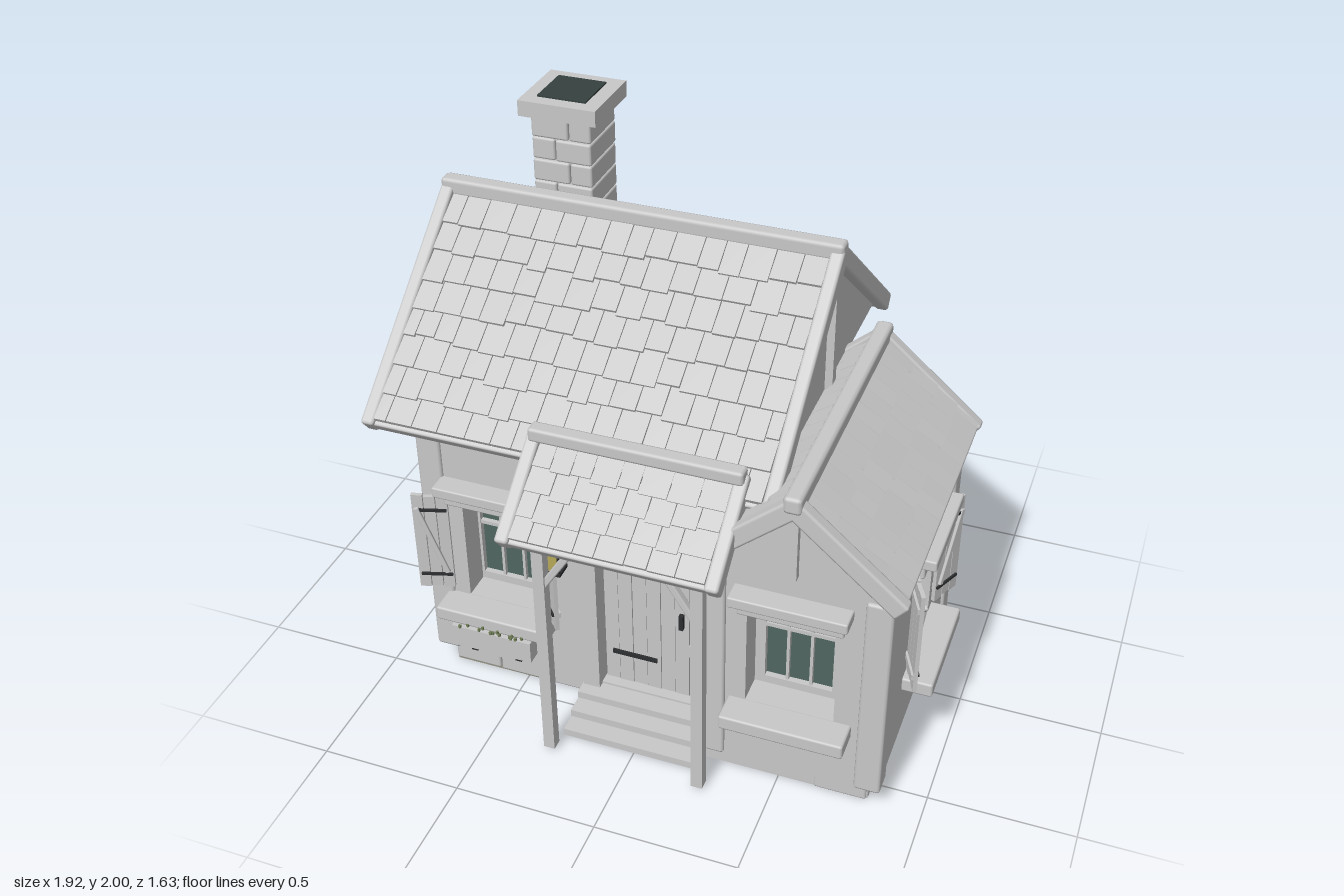
import * as THREE from 'three';
import { mergeGeometries } from 'three/addons/utils/BufferGeometryUtils.js';
import { RoundedBoxGeometry } from 'three/addons/geometries/RoundedBoxGeometry.js';

const mat = (name, color) => {
  const m = new THREE.MeshStandardMaterial({ color });
  m.name = name;
  return m;
};
const plaster = mat('pale stone grey', 0xc8c8c8);
const glass = mat('dark teal glass', 0x506660);
const soot = mat('soot', 0x35413f);
const iron = mat('black iron', 0x2c2e30);
const underside = mat('earth olive', 0x8f8d7c);
const lampGlow = mat('lamp yellow', 0xb5a858);
const leaf = mat('leaf green', 0x6f7d55);

let seed = 7;
const rnd = (a, b) => {
  seed = (seed * 16807) % 2147483647;
  return a + (b - a) * (seed / 2147483647);
};

function add(parent, name, geo, x, y, z, m = plaster) {
  const b = new THREE.Mesh(geo, m);
  b.name = name;
  b.position.set(x, y, z);
  parent.add(b);
  return b;
}
const box = (parent, name, w, h, d, x, y, z, m) =>
  add(parent, name, new THREE.BoxGeometry(w, h, d), x, y, z, m);
const chamfered = (parent, name, w, h, d, x, y, z, r) =>
  add(parent, name, new RoundedBoxGeometry(w, h, d, 1, r), x, y, z);

// Straight timber between two points in the parent's frame
function beam(parent, name, a, b, w, h) {
  const p = new THREE.Vector3(...a), q = new THREE.Vector3(...b);
  const mid = p.clone().add(q).multiplyScalar(0.5);
  const t = chamfered(parent, name, w, h, p.distanceTo(q), mid.x, mid.y, mid.z, Math.min(w, h) * 0.22);
  t.quaternion.setFromRotationMatrix(new THREE.Matrix4().lookAt(q, p, new THREE.Vector3(0, 1, 0)));
}
function group(parent, name, x, y, z, ry = 0) {
  const g = new THREE.Group();
  g.name = name;
  g.position.set(x, y, z);
  g.rotation.y = ry;
  parent.add(g);
  return g;
}
const merged = (parent, name, geos) => add(parent, name, mergeGeometries(geos), 0, 0, 0);
const stone = (w, h, d, x, y, z) => new RoundedBoxGeometry(w, h, d, 1, 0.008).translate(x, y, z);
const points = list => list.map(p => new THREE.Vector2(...p));

// Flat panel from an outline, its front at local z = 0
const panel = (parent, name, outline, holes, depth) => {
  const s = new THREE.Shape(points(outline));
  for (const [a, b, c, d] of holes) s.holes.push(new THREE.Path(points([[a, c], [a, d], [b, d], [b, c]])));
  add(parent, name, new THREE.ExtrudeGeometry(s, { depth, bevelEnabled: false }), 0, 0, -depth);
};

// Wall facing local +z, with optional gable peak and openings [x0, x1, y0, y1]
function wall(parent, name, pos, ry, half, top, peak, holes = []) {
  const g = group(parent, name, ...pos, ry);
  const pts = [[-half, 0.09], [half, 0.09], [half, top]];
  if (peak) pts.push([0, peak]);
  panel(g, name + 'Panel', [...pts, [-half, top]], holes, 0.14);
  return g;
}
const opening = x => [x - 0.15, x + 0.15, 0.36, 0.78];

// Deeply recessed window with sill, lintel and any shutters given as [side, swing]
function windowUnit(wallGroup, x, shutters = [], drop = 0) {
  const g = group(wallGroup, 'window', x, 0, 0);
  box(g, 'glass', 0.28, 0.4, 0.008, 0, 0.575, -0.125, glass);
  for (const s of [-1, 1]) {
    box(g, 'frameSide', 0.035, 0.42, 0.03, s * 0.133, 0.57, -0.115);
    box(g, 'mullion', 0.01, 0.4, 0.02, s * 0.04, 0.575, -0.115);
  }
  box(g, 'frameTop', 0.3, 0.03, 0.03, 0, 0.775 - drop, -0.115);
  box(g, 'frameBottom', 0.3, 0.03, 0.03, 0, 0.375, -0.115);
  box(g, 'glazingBar', 0.27, 0.014, 0.022, 0, 0.61, -0.115);
  chamfered(g, 'sill', 0.42, 0.054, 0.135, 0, 0.332, 0.037, 0.008);
  chamfered(g, 'header', 0.35, 0.045, 0.05, 0, 0.79 - drop, 0.01, 0.006);
  chamfered(g, 'lintel', 0.39, 0.04, 0.1, 0, 0.842 - drop, 0.025, 0.006);
  for (const [s, swing] of shutters) {
    const sh = group(g, 'shutter', s * 0.175, 0.59, 0.008, -s * swing);
    for (let i = 0; i < 3; i++)
      box(sh, 'shutterPlank', 0.039, 0.4 - (i % 2) * 0.012, 0.014, s * (0.021 + i * 0.042), 0, 0);
    for (const y of [-0.14, 0.14]) {
      box(sh, 'shutterStrap', 0.11, 0.01, 0.008, s * 0.06, y, 0.01, iron);
      box(sh, 'shutterBatten', 0.12, 0.022, 0.01, s * 0.063, y, -0.01);
    }
    beam(sh, 'shutterBrace', [s * 0.02, -0.13, 0.012], [s * 0.11, 0.15, 0.012], 0.012, 0.018);
  }
}

// One tiled slope: ridge along local x, falling toward local +z
function slope(parent, name, pos, ry, L, run, pitch, rows) {
  const g = group(group(parent, name, ...pos, ry), name + 'Plane', 0, 0, 0);
  const a = Math.atan(pitch), S = run / Math.cos(a), step = (S - 0.05) / rows;
  g.rotation.x = a;
  box(g, 'roofDeck', L - 0.04, 0.025, S - 0.02, 0, -0.035, S / 2);
  // Courses lift gently toward the eave
  const tiles = [], end = L / 2 - 0.045;
  for (let r = 0; r < rows; r++) {
    let x = -end;
    while (x < end - 0.015) {
      let w = x === -end ? rnd(0.04, 0.09) : rnd(0.068, 0.1);
      if (end - x - w < 0.03) w = end - x;
      const z = 0.015 + r * step, len = Math.min(step * 1.2 + rnd(0, 0.02), S - 0.015 - z);
      tiles.push(new THREE.BoxGeometry(w - 0.003, 0.02, len).rotateX(-0.12 + rnd(-0.02, 0.02))
        .translate(x + w / 2, -0.008 + 0.014 * r / rows, z + len / 2));
      x += w;
    }
  }
  merged(g, 'roofTiles', tiles);
  for (const s of [-1, 1]) {
    const x = s * (L / 2 - 0.023);
    beam(g, 'bargeBoard', [x, -0.018, -0.005], [x, -0.018, S + 0.005], 0.048, 0.068);
  }
  beam(g, 'eaveBoard', [-L / 2 + 0.02, -0.022, S - 0.016], [L / 2 - 0.02, -0.022, S - 0.016], 0.034, 0.05);
  // Rafter tails set on edge
  const n = Math.max(3, Math.round(L / 0.22)), tail = Math.min(0.3, S - 0.03);
  for (let i = 0; i < n; i++)
    box(g, 'rafter', 0.026, 0.026, tail, -L / 2 + 0.1 + i * (L - 0.2) / (n - 1), -0.056, S - 0.01 - tail / 2)
      .rotation.z = Math.PI / 4;
}

// Foundation blocks along one wall line
function stoneRow(parent, x0, z0, x1, z1) {
  const len = Math.hypot(x1 - x0, z1 - z0), n = Math.max(1, Math.round(len / 0.18));
  const alongX = Math.abs(x1 - x0) > Math.abs(z1 - z0), geos = [];
  for (let i = 0; i < n; i++) {
    const t = (i + 0.5) / n, w = len / n - 0.004, d = rnd(0.075, 0.09), h = rnd(0.084, 0.092);
    geos.push(stone(alongX ? w : d, h, alongX ? d : w, x0 + (x1 - x0) * t, h / 2 + 0.003, z0 + (z1 - z0) * t));
  }
  merged(parent, 'foundationStones', geos);
}

export function createModel() {
  const house = new THREE.Group();
  house.name = 'cottage';
  const H = Math.PI / 2;

  // Foundation
  box(house, 'mainBase', 1.06, 0.09, 1.03, -0.25, 0.051, -0.115);
  box(house, 'wingBase', 0.56, 0.09, 0.88, 0.51, 0.051, 0.14);
  box(house, 'mainUnderside', 1.08, 0.003, 1.05, -0.245, 0.0015, -0.11, underside);
  box(house, 'wingUnderside', 0.53, 0.003, 0.87, 0.535, 0.002, 0.135, underside);
  [[-0.79, 0.38, -0.25, 0.38], [-0.79, -0.6, 0.29, -0.6], [-0.75, -0.63, -0.75, 0.41], [0.26, -0.63, 0.26, -0.31],
    [0.25, 0.54, 0.81, 0.54], [0.77, -0.3, 0.77, 0.58], [0.25, -0.27, 0.81, -0.27], [0.28, 0.4, 0.28, 0.58]]
    .forEach(r => stoneRow(house, ...r));

  // Main walls and their windows
  const front = wall(house, 'mainFrontWall', [-0.25, 0, 0.45], 0, 0.58, 1.12, 0,
    [opening(-0.315), [0.055, 0.425, 0.1, 0.85]]);
  windowUnit(front, -0.315, [[-1, 0.3], [1, 0.85]]);
  windowUnit(wall(house, 'mainBackWall', [-0.25, 0, -0.68], 2 * H, 0.58, 1.12, 0, [opening(0)]), 0, [[-1, 0.35], [1, 0.35]]);
  windowUnit(wall(house, 'mainLeftEndWall', [-0.83, 0, -0.115], -H, 0.565, 1.08, 1.58, [opening(0)]), 0, [[-1, 0.25], [1, 0.25]]);
  wall(house, 'mainRightEndWall', [0.33, 0, -0.115], H, 0.565, 1.08, 1.58);

  // Wing walls and their windows
  windowUnit(wall(house, 'wingFrontWall', [0.54, 0, 0.62], 0, 0.31, 0.9, 1.17, [opening(0)]), 0, [], 0.02);
  windowUnit(wall(house, 'wingSideWall', [0.85, 0, 0.14], H, 0.48, 0.9, 0, [opening(0)]), 0, [[-1, 0.42], [1, 0.42]]);
  windowUnit(wall(house, 'wingBackWall', [0.54, 0, -0.34], 2 * H, 0.31, 0.9, 1.17, [opening(0.04)]), 0.04, [[-1, 0.5]]);
  wall(house, 'wingInnerWall', [0.23, 0, 0.535], -H, 0.085, 0.9, 0);

  // Corner posts
  for (const [x, z, h] of [[-0.795, 0.415, 1.1], [-0.795, -0.645, 1.1], [0.295, -0.645, 1.1],
    [0.817, 0.587, 0.89], [0.817, -0.307, 0.89], [0.275, 0.587, 0.89]])
    chamfered(house, 'cornerPost', 0.09, h - 0.095, 0.09, x, (h + 0.095) / 2, z, 0.01);

  // Main roof with ridge beam and closed gable ends
  for (const ry of [0, 2 * H]) slope(house, 'mainRoof', [-0.25, 1.665, -0.115], ry, 1.42, 0.69, 0.8, 8);
  beam(house, 'mainRidge', [-0.96, 1.66, -0.115], [0.46, 1.66, -0.115], 0.06, 0.06);
  for (const s of [-1, 1]) {
    const gable = group(house, 'gableEnd', -0.25 + s * 0.665, 0, -0.115, s * H);
    panel(gable, 'gablePanel', [[-0.63, 1.12], [0.63, 1.12], [0, 1.625]], [], 0.03);
    box(gable, 'kingPost', 0.04, 0.5, 0.03, 0, 1.372, 0.012);
  }

  // Wing roof; the inner slope is shorter where it meets the house
  slope(house, 'wingOuterRoof', [0.54, 1.235, 0.14], H, 1.06, 0.36, 0.86, 4);
  slope(house, 'wingInnerRoof', [0.54, 1.235, 0.14], -H, 1.06, 0.24, 0.86, 3);
  beam(house, 'wingRidge', [0.54, 1.23, -0.4], [0.54, 1.23, 0.68], 0.06, 0.06);
  for (const [z, ry] of [[0.642, 0], [-0.362, 2 * H]]) {
    const gable = group(house, 'wingGableEnd', 0.54, 0, z, ry), c = Math.cos(ry);
    const outline = [[-0.24, 0.96], [0.3, 0.96], [0, 1.2], [-0.24, 1.0]].map(([x, y]) => [x * c, y]);
    panel(gable, 'wingGablePanel', outline, [], 0.02);
    box(gable, 'wingKingPost', 0.038, 0.26, 0.03, 0, 1.075, 0.01);
  }

  // Porch
  slope(house, 'porchRoof', [-0.01, 1.185, 0.52], 0, 0.74, 0.29, 0.8, 4);
  beam(house, 'porchTopBeam', [-0.37, 1.195, 0.535], [0.35, 1.195, 0.535], 0.055, 0.05);
  for (const [x, s] of [[-0.28, 1], [0.26, -1]]) {
    box(house, 'porchPost', 0.04, 0.95, 0.04, x, 0.485, 0.71);
    beam(house, 'porchBrace', [x + s * 0.01, 0.73, 0.71], [x + s * 0.13, 0.92, 0.71], 0.025, 0.025);
    beam(house, 'porchSideBeam', [x, 0.94, 0.44], [x, 0.94, 0.73], 0.035, 0.04);
  }
  beam(house, 'porchBeam', [-0.34, 0.94, 0.71], [0.32, 0.94, 0.71], 0.035, 0.04);
  for (let i = 0; i < 3; i++) {
    const zFront = 0.65 - i * 0.065;
    box(house, 'step', 0.5, 0.028, zFront - 0.36, -0.01, 0.018 + i * 0.03, (zFront + 0.36) / 2);
  }

  // Door
  const door = group(house, 'door', -0.01, 0, 0.4);
  for (let i = 0; i < 7; i++)
    box(door, 'doorPlank', 0.05, 0.74, 0.025 + (i % 2) * 0.004, (i - 3) * 0.052, 0.47, 0);
  box(door, 'doorBacking', 0.37, 0.75, 0.01, 0, 0.47, -0.015);
  for (const s of [-1, 1]) box(door, 'doorJamb', 0.06, 0.78, 0.08, s * 0.215, 0.48, 0.035);
  box(door, 'doorHeader', 0.49, 0.06, 0.08, 0, 0.875, 0.035);
  for (const y of [0.23, 0.66]) box(door, 'doorHinge', 0.165, 0.016, 0.008, -0.07, y, 0.018, iron);
  box(door, 'doorHandle', 0.016, 0.06, 0.02, 0.105, 0.44, 0.022, iron);
  box(door, 'doorLatch', 0.04, 0.05, 0.03, 0.16, 0.335, 0.03);

  // Wall lantern
  const lamp = group(house, 'lantern', -0.31, 0.7, 0.54);
  box(lamp, 'lampGlass', 0.05, 0.085, 0.05, 0, 0, 0, lampGlow);
  for (const y of [-0.048, 0.048]) box(lamp, 'lampPlate', 0.064, 0.012, 0.064, 0, y, 0, iron);
  for (const x of [-1, 1]) for (const z of [-1, 1])
    box(lamp, 'lampBar', 0.007, 0.09, 0.007, x * 0.026, 0, z * 0.026, iron);
  box(lamp, 'lampArm', 0.012, 0.012, 0.11, 0, 0.078, -0.04, iron);
  box(lamp, 'lampHook', 0.008, 0.03, 0.008, 0, 0.063, 0, iron);

  // Flower box
  const planter = group(house, 'flowerBox', -0.565, 0, 0.505);
  box(planter, 'planterBox', 0.3, 0.085, 0.11, 0, 0.255, 0);
  for (const x of [-0.085, 0.085]) box(planter, 'planterBracket', 0.024, 0.042, 0.07, x, 0.194, -0.012, iron);
  for (let i = 0; i < 16; i++)
    box(planter, 'sprout', 0.008, 0.012, 0.008, rnd(-0.12, 0.12), rnd(0.3, 0.318), rnd(0.035, 0.06), leaf);

  // Chimney
  const bricks = [];
  for (let i = 0; i < 8; i++) {
    const y = 1.9 - i * 0.079, cut = i % 2 ? 0.085 : 0.135, e = rnd(0, 0.008);
    bricks.push(stone(cut - 0.003, 0.077, 0.212 + e, -0.645 + cut / 2, y, -0.267));
    bricks.push(stone(0.212 - cut, 0.077, 0.218 - e, -0.643 + cut + (0.211 - cut) / 2, y, -0.267));
  }
  merged(house, 'chimneyBricks', bricks);
  box(house, 'chimneyCore', 0.19, 0.7, 0.19, -0.538, 1.6, -0.267);
  box(house, 'chimneyCap', 0.275, 0.055, 0.27, -0.538, 1.967, -0.269);
  box(house, 'chimneyOpening', 0.172, 0.006, 0.176, -0.54, 1.997, -0.271, soot);
  return house;
}
